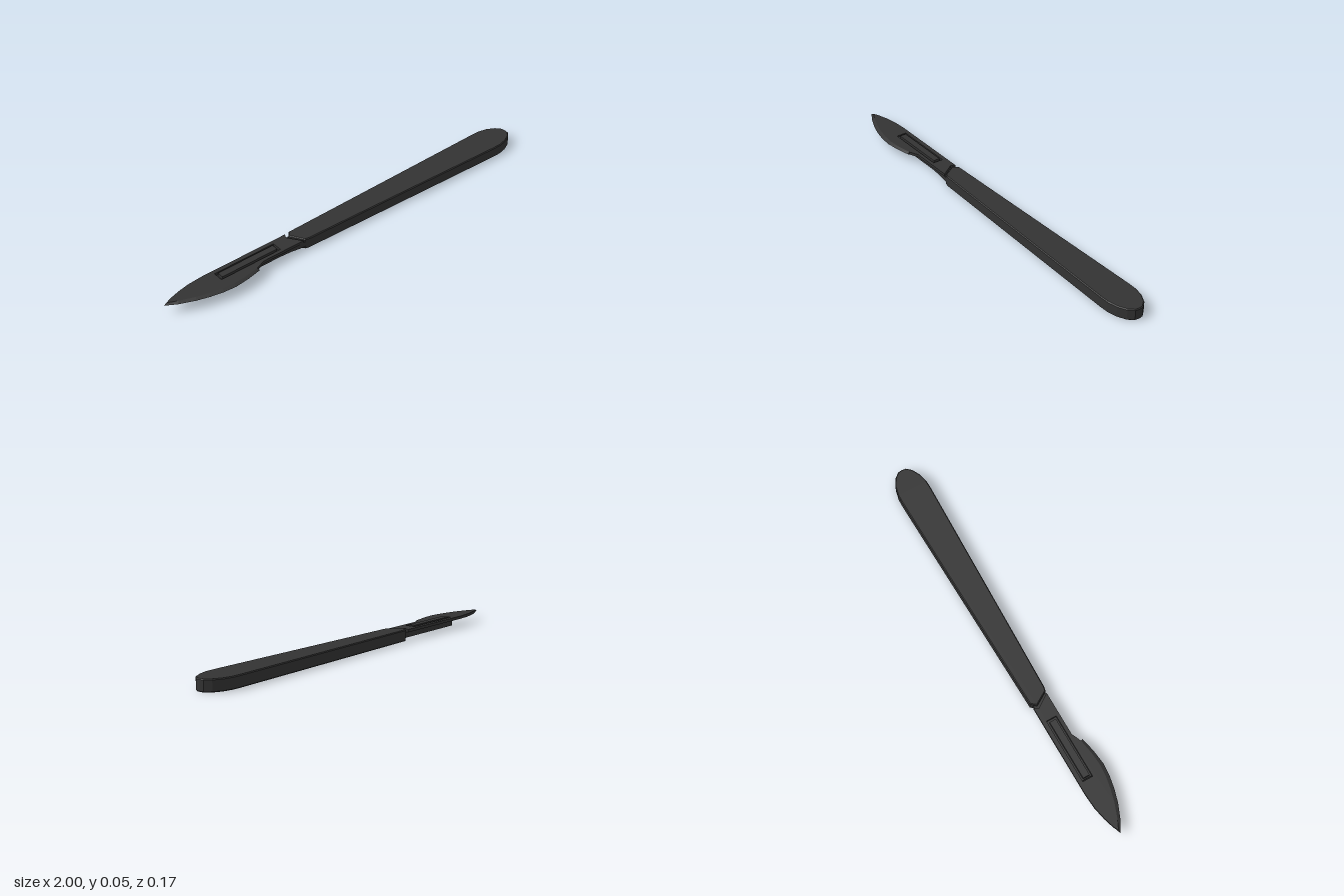
import * as THREE from 'three';

const material = new THREE.MeshStandardMaterial({ color: 0x333333, flatShading: true });

// Flat plate from an [x, z] outline, between heights y0 and y1
function plate(name, outline, y0, y1, bevel = 0, hole = null) {
  const toPoints = (list) => list.map(([x, z]) => new THREE.Vector2(x, -z));
  const shape = new THREE.Shape(toPoints(outline));
  if (hole) shape.holes.push(new THREE.Path(toPoints(hole)));
  const geometry = new THREE.ExtrudeGeometry(shape, {
    depth: y1 - y0 - 2 * bevel,
    bevelEnabled: bevel > 0,
    bevelThickness: bevel,
    bevelSize: bevel,
    bevelOffset: -bevel,
    bevelSegments: 1,
  });
  geometry.rotateX(-Math.PI / 2);
  geometry.translate(0, y0 + bevel, 0);
  const mesh = new THREE.Mesh(geometry, material);
  mesh.name = name;
  return mesh;
}

const rect = (x0, x1, z0, z1) => [[x0, z0], [x1, z0], [x1, z1], [x0, z1]];

// Wedge running along the blade rim, from the flat body down to a sharp line
function wedge(name, outer, inner, yEdge, y0, y1) {
  const positions = [];
  const tri = (...points) => points.forEach((p) => positions.push(...p));
  for (let i = 0; i < outer.length - 1; i++) {
    const at = (list, k, y) => [list[k][0], y, list[k][1]];
    const o = at(outer, i, yEdge), p = at(outer, i + 1, yEdge);
    const a = at(inner, i, y1), b = at(inner, i + 1, y1);
    const c = at(inner, i, y0), d = at(inner, i + 1, y0);
    tri(o, p, b); tri(o, b, a);
    tri(o, d, p); tri(o, c, d);
    if (i === outer.length - 2) tri(p, d, b);
  }
  const geometry = new THREE.BufferGeometry();
  geometry.setAttribute('position', new THREE.Float32BufferAttribute(positions, 3));
  geometry.computeVertexNormals();
  const mesh = new THREE.Mesh(geometry, material);
  mesh.name = name;
  return mesh;
}

export function createModel() {
  const model = new THREE.Group();
  model.name = 'scalpel';

  // Tapering handle with a rounded butt
  model.add(plate('handle', [
    [-0.31, -0.06], [0.85, -0.088], [0.89, -0.087], [0.935, -0.077], [0.975, -0.055],
    [0.997, -0.029], [1, -0.01], [0.997, 0.012], [0.975, 0.036], [0.935, 0.056],
    [0.89, 0.066], [0.85, 0.067], [-0.27, 0.036], [-0.29, 0.031], [-0.33, -0.035],
  ], 0, 0.055, 0.004));

  // Neck under the blade, flaring into the handle
  model.add(plate('neck', [
    [-0.72, -0.048], [-0.31, -0.05], [-0.27, 0.033], [-0.31, 0.028],
    [-0.36, 0.02], [-0.42, 0.016], [-0.72, 0.016],
  ], 0.013, 0.038));

  // Lug passing through the blade slot
  model.add(plate('lug', rect(-0.715, -0.425, -0.027, 0.005), 0.036, 0.055));

  // Cutting rim, sharp line and its matching inner line
  const outer = [
    [-1, -0.01], [-0.95, 0.02], [-0.88, 0.05], [-0.82, 0.068], [-0.76, 0.08],
    [-0.7, 0.085], [-0.63, 0.077], [-0.56, 0.062],
  ];
  const inner = [
    [-0.985, -0.012], [-0.94, 0.01], [-0.872, 0.036], [-0.813, 0.052], [-0.756, 0.063],
    [-0.7, 0.068], [-0.635, 0.063], [-0.565, 0.051],
  ];

  // Blade body with its mounting slot
  const blade = new THREE.Group();
  blade.name = 'blade';
  blade.add(plate('bladeBody', [
    ...inner, [-0.545, 0.043], [-0.52, 0.031], [-0.3, 0.031], [-0.345, -0.035],
    [-0.335, -0.056], [-0.78, -0.056], [-0.85, -0.051], [-0.91, -0.039], [-0.96, -0.024],
  ], 0.038, 0.052, 0, rect(-0.727, -0.413, -0.036, 0.014)));
  blade.add(wedge('cuttingEdge', outer, inner, 0.045, 0.038, 0.052));

  // Pointed tip joining the spine to the cutting rim
  blade.add(wedge('bladeTip', [[-0.96, -0.024], [-1, -0.01], [-1, -0.01]],
    [[-0.96, -0.024], [-0.985, -0.012], [-0.985, -0.012]], 0.045, 0.038, 0.052));
  model.add(blade);

  return model;
}
